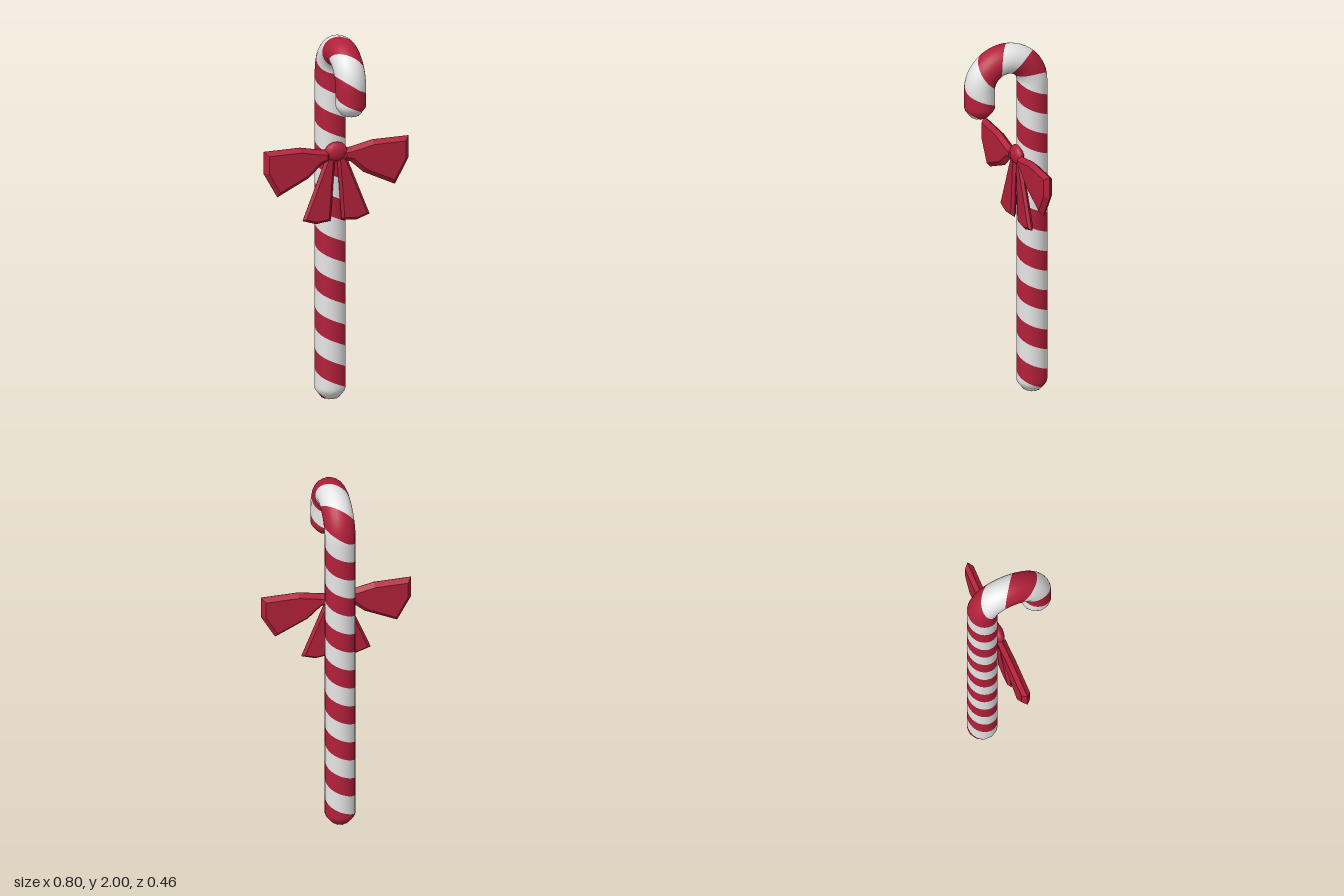
import * as THREE from 'three';
import { mergeVertices } from 'three/addons/utils/BufferGeometryUtils.js';

const RADIUS = 0.08, BEND = 0.15, BEND_START = 1.77, BEND_LENGTH = Math.PI * BEND;
const LENGTH = BEND_START + BEND_LENGTH + 0.15;
const CAP = 0.045, PITCH = 0.225, SIDES = 24, ROWS = 12;

// point on the cane skin at distance s along the path and angle a around it
function canePoint(s, a) {
  s = THREE.MathUtils.clamp(s, -CAP, LENGTH + CAP);
  const fromEnd = Math.min(s, LENGTH - s);
  const r = fromEnd > 0
    ? THREE.MathUtils.lerp(0.045, RADIUS, Math.min(1, fromEnd / CAP))
    : 0.045 * (1 + fromEnd / CAP);
  const t = THREE.MathUtils.clamp(s, 0, LENGTH);
  const phi = THREE.MathUtils.clamp((t - BEND_START) / BEND, 0, Math.PI);
  const down = Math.max(0, t - BEND_START - BEND_LENGTH);
  const y = Math.min(t, BEND_START) + BEND * Math.sin(phi) - down;
  const z = -BEND * Math.cos(phi);
  const inward = r * Math.cos(a);
  return [r * Math.sin(a), y - inward * Math.sin(phi), z + inward * Math.cos(phi)];
}

// skin whose rows follow the helix, so each stripe is a run of whole rows
function caneGeometry() {
  const geometry = new THREE.BufferGeometry();
  const positions = [], index = [];
  const first = -ROWS, last = ROWS * 13, width = SIDES + 1;
  for (let i = first; i <= last; i++) {
    for (let j = 0; j <= SIDES; j++) {
      const turn = j / SIDES;
      const s = 0.094 + PITCH * (i / ROWS - turn);
      positions.push(...canePoint(s, turn * Math.PI * 2));
    }
  }
  for (let i = 0; i < last - first; i++) {
    geometry.addGroup(index.length, SIDES * 6, i % ROWS < ROWS / 2 ? 0 : 1);
    for (let j = 0; j < SIDES; j++) {
      const p = i * width + j, q = p + width;
      index.push(p, p + 1, q + 1, p, q + 1, q);
    }
  }
  geometry.setAttribute('position', new THREE.Float32BufferAttribute(positions, 3));
  geometry.setIndex(index);
  const merged = mergeVertices(geometry, 1e-4);
  merged.computeVertexNormals();
  return merged;
}

// ribbon panel with edges tapering to a ridge
function ribbonGeometry(outline, side, half, bevel) {
  const shape = new THREE.Shape(outline.map(([x, y]) => new THREE.Vector2(x * side, y)));
  const geometry = new THREE.ExtrudeGeometry(shape, {
    depth: 0.002, bevelEnabled: true, bevelSegments: 1,
    bevelThickness: half, bevelSize: bevel, bevelOffset: -bevel,
  });
  return geometry.translate(0, 0, -0.001);
}

export function createModel() {
  const red = new THREE.MeshStandardMaterial({ color: 0xb3203a });
  red.name = 'candy red';
  const white = new THREE.MeshStandardMaterial({ color: 0xe6e6e6 });
  white.name = 'sugar white';

  const model = new THREE.Group();
  model.name = 'candyCane';
  const add = (parent, name, geometry, material) => {
    const mesh = new THREE.Mesh(geometry, material);
    mesh.name = name;
    parent.add(mesh);
    return mesh;
  };

  add(model, 'stripedCane', caneGeometry(), [red, white]);

  // bow on the front of the shaft
  const bow = new THREE.Group();
  bow.name = 'bow';
  model.add(bow);
  const loop = [[0.03, 1.31], [0.08, 1.295], [0.15, 1.23], [0.325, 1.145],
    [0.4, 1.28], [0.4, 1.4], [0.2, 1.4], [0.08, 1.375], [0.03, 1.37]];
  const tail = [[0.005, 1.33], [0.03, 0.985], [0.11, 0.975], [0.185, 1.0], [0.055, 1.33]];
  for (const [label, side] of [['left', 1], ['right', -1]]) {
    add(bow, label + 'Loop', ribbonGeometry(loop, side, 0.023, 0.022), red).position.z = -0.064;
    add(bow, label + 'Tail', ribbonGeometry(tail, side, 0.014, 0.014), red).position.z = -0.064;
  }
  const knot = add(bow, 'knot', new THREE.SphereGeometry(1, 16, 10), red);
  knot.scale.set(0.062, 0.052, 0.03);
  knot.position.set(0, 1.357, -0.064);

  return model;
}
